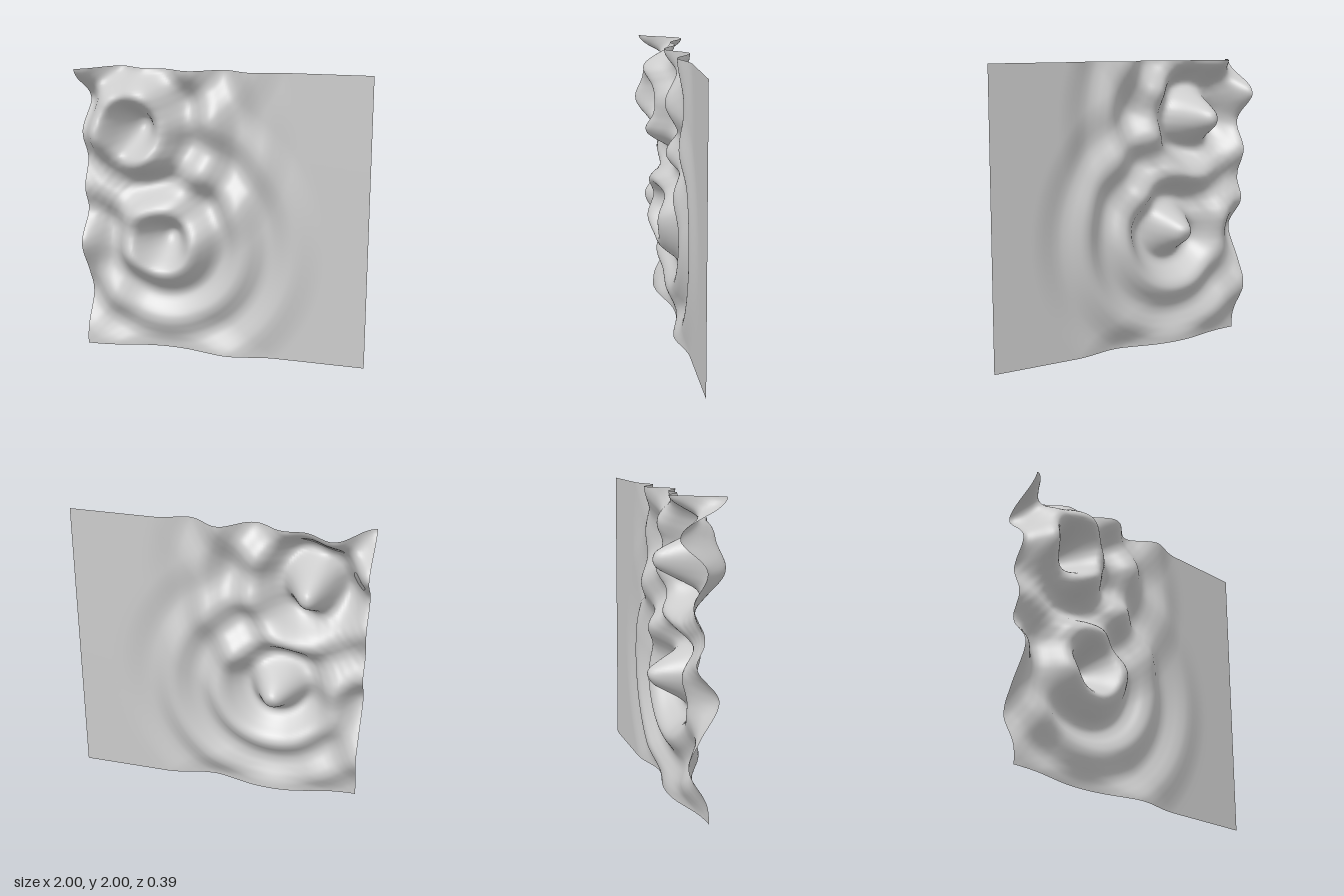
import * as THREE from 'three';

// Wave height against distance from a source, sampled every 0.05 units
const STEP = 0.05;
const PROFILE = [
  -0.15, -0.13, -0.05, 0.04, 0.105, 0.1, 0.05, -0.01, -0.033, -0.015, 0.022, 0.042,
  0.033, 0.003, -0.024, -0.027, -0.008, 0.015, 0.029, 0.027, 0.017, 0.007, 0.001, 0,
];

// Smooth (Catmull-Rom) lookup of the radial profile
function ripple(r) {
  const t = r / STEP;
  const i = Math.floor(t);
  if (i >= PROFILE.length - 1) return 0;
  const u = t - i;
  const at = (k) => PROFILE[Math.abs(k)] ?? 0;
  const [a, b, c, d] = [at(i - 1), at(i), at(i + 1), at(i + 2)];
  return b + 0.5 * u * (c - a + u * (2 * a - 5 * b + 4 * c - d + u * (3 * (b - c) + d - a)));
}

// Two sources plus their mirror images, so waves reflect from the sheet's edges
const SOURCES = [];
for (const [x, y] of [[-0.62, 1.6], [-0.41, 0.8]]) {
  for (const sx of [x, -2 - x, 2 - x]) {
    for (const sy of [y, -y, 4 - y]) SOURCES.push([sx, sy]);
  }
}

export function createModel() {
  const group = new THREE.Group();
  group.name = 'rippledSheet';

  // Upright square sheet displaced by the sum of all the ripples
  const geometry = new THREE.PlaneGeometry(2, 2, 128, 128);
  geometry.translate(0, 1, 0);
  const pos = geometry.attributes.position;
  for (let i = 0; i < pos.count; i++) {
    const x = pos.getX(i);
    const y = pos.getY(i);
    let z = 0;
    for (const [sx, sy] of SOURCES) z += ripple(Math.hypot(x - sx, y - sy));
    pos.setZ(i, z);
  }
  geometry.computeVertexNormals();

  const sheet = new THREE.Mesh(
    geometry,
    new THREE.MeshStandardMaterial({ color: 0xcccccc, side: THREE.DoubleSide }),
  );
  sheet.name = 'waveSurface';
  group.add(sheet);
  return group;
}
